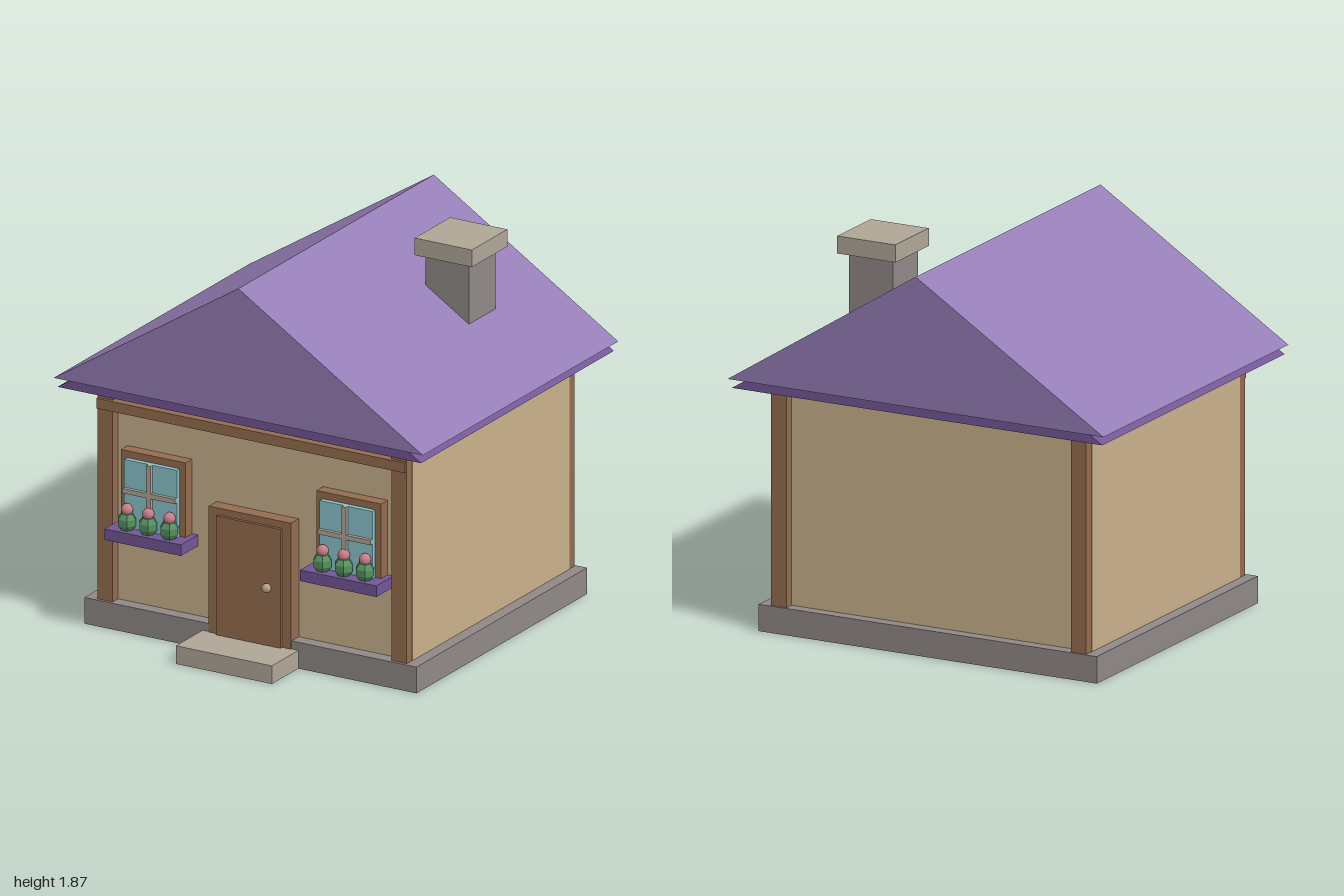
import * as THREE from 'three';

const mat = (name, color, flatShading = false) => {
  const m = new THREE.MeshStandardMaterial({ color, flatShading });
  m.name = name;
  return m;
};

export function createModel() {
  const M = {
    wall: mat('cream plaster', 0xcab28c),
    wood: mat('brown wood', 0x956d50),
    roof: mat('lilac roof', 0x957db6),
    eave: mat('deep purple', 0x735796),
    stone: mat('grey stone', 0x908987),
    pale: mat('pale stone', 0xb0a798),
    glass: mat('window glass', 0x8bc5cd),
    leaf: mat('leaf green', 0x569060, true),
    petal: mat('petal pink', 0xca7f8a),
    knob: mat('knob metal', 0xb59f82),
  };
  const house = new THREE.Group();
  house.name = 'house';

  const add = (parent, name, geometry, material) => {
    const mesh = new THREE.Mesh(geometry, material);
    mesh.name = name;
    parent.add(mesh);
    return mesh;
  };
  // Box given by its extents along each axis
  const box = (parent, name, material, [x0, x1], [y0, y1], [z0, z1]) => {
    const m = add(parent, name, new THREE.BoxGeometry(x1 - x0, y1 - y0, z1 - z0), material);
    m.position.set((x0 + x1) / 2, (y0 + y1) / 2, (z0 + z1) / 2);
    return m;
  };
  // Triangular roof prism running along z
  const gable = (name, material, half, y0, y1, z0, z1) => {
    const s = new THREE.Shape();
    s.moveTo(-half, y0);
    s.lineTo(half, y0);
    s.lineTo(0, y1);
    s.closePath();
    const g = new THREE.ExtrudeGeometry(s, { depth: z1 - z0, bevelEnabled: false });
    add(house, name, g, material).position.z = z0;
  };

  // Base, step and walls
  box(house, 'foundation', M.stone, [-0.9, 0.9], [0, 0.13], [-0.83, 0.71]);
  box(house, 'doorStep', M.pale, [-0.26, 0.26], [0, 0.09], [0.7, 0.95]);
  box(house, 'walls', M.wall, [-0.84, 0.84], [0.12, 1.2], [-0.77, 0.645]);

  // Corner posts stand proud of the front and back walls
  for (const side of [-1, 1]) {
    const xs = [side * 0.757, side * 0.838].sort((a, b) => a - b);
    box(house, 'frontPost', M.wood, xs, [0.12, 1.2], [0.61, 0.695]);
    box(house, 'backPost', M.wood, xs, [0.12, 1.2], [-0.82, -0.735]);
  }
  box(house, 'frontBeam', M.wood, [-0.835, 0.835], [1.08, 1.13], [0.64, 0.71]);

  // Two stacked roof layers
  gable('roof', M.roof, 1, 1.235, 1.87, -0.945, 0.82);
  gable('eaves', M.eave, 0.985, 1.19, 1.815, -0.93, 0.81);

  // Chimney
  box(house, 'chimneyStack', M.stone, [0.385, 0.62], [1.35, 1.79], [-0.47, -0.23]);
  box(house, 'chimneyCap', M.pale, [0.35, 0.66], [1.78, 1.865], [-0.51, -0.19]);

  // Door
  const door = new THREE.Group();
  door.name = 'door';
  house.add(door);
  box(door, 'doorFrame', M.wood, [-0.223, 0.223], [0.085, 0.715], [0.63, 0.715]);
  box(door, 'doorPanel', M.wood, [-0.175, 0.175], [0.085, 0.68], [0.65, 0.73]);
  add(door, 'doorKnob', new THREE.SphereGeometry(0.023, 16, 12), M.knob).position.set(0.107, 0.38, 0.745);

  // Windows with flower boxes, built around x = 0
  for (const x of [-0.53, 0.53]) {
    const win = new THREE.Group();
    win.name = 'window';
    win.position.x = x;
    house.add(win);
    box(win, 'windowFrame', M.wood, [-0.175, 0.175], [0.5, 0.9], [0.63, 0.705]);
    box(win, 'glass', M.glass, [-0.143, 0.143], [0.52, 0.865], [0.65, 0.73]);
    box(win, 'verticalBar', M.pale, [-0.012, 0.012], [0.52, 0.865], [0.72, 0.75]);
    box(win, 'horizontalBar', M.pale, [-0.143, 0.143], [0.703, 0.727], [0.72, 0.748]);
    box(win, 'flowerBox', M.eave, [-0.207, 0.207], [0.475, 0.53], [0.64, 0.8]);
    for (const fx of [-0.115, 0, 0.115]) {
      add(win, 'leaves', new THREE.SphereGeometry(0.05, 6, 5), M.leaf).position.set(fx, 0.57, 0.75);
      add(win, 'blossom', new THREE.SphereGeometry(0.029, 12, 8), M.petal).position.set(fx, 0.628, 0.75);
    }
  }
  return house;
}
